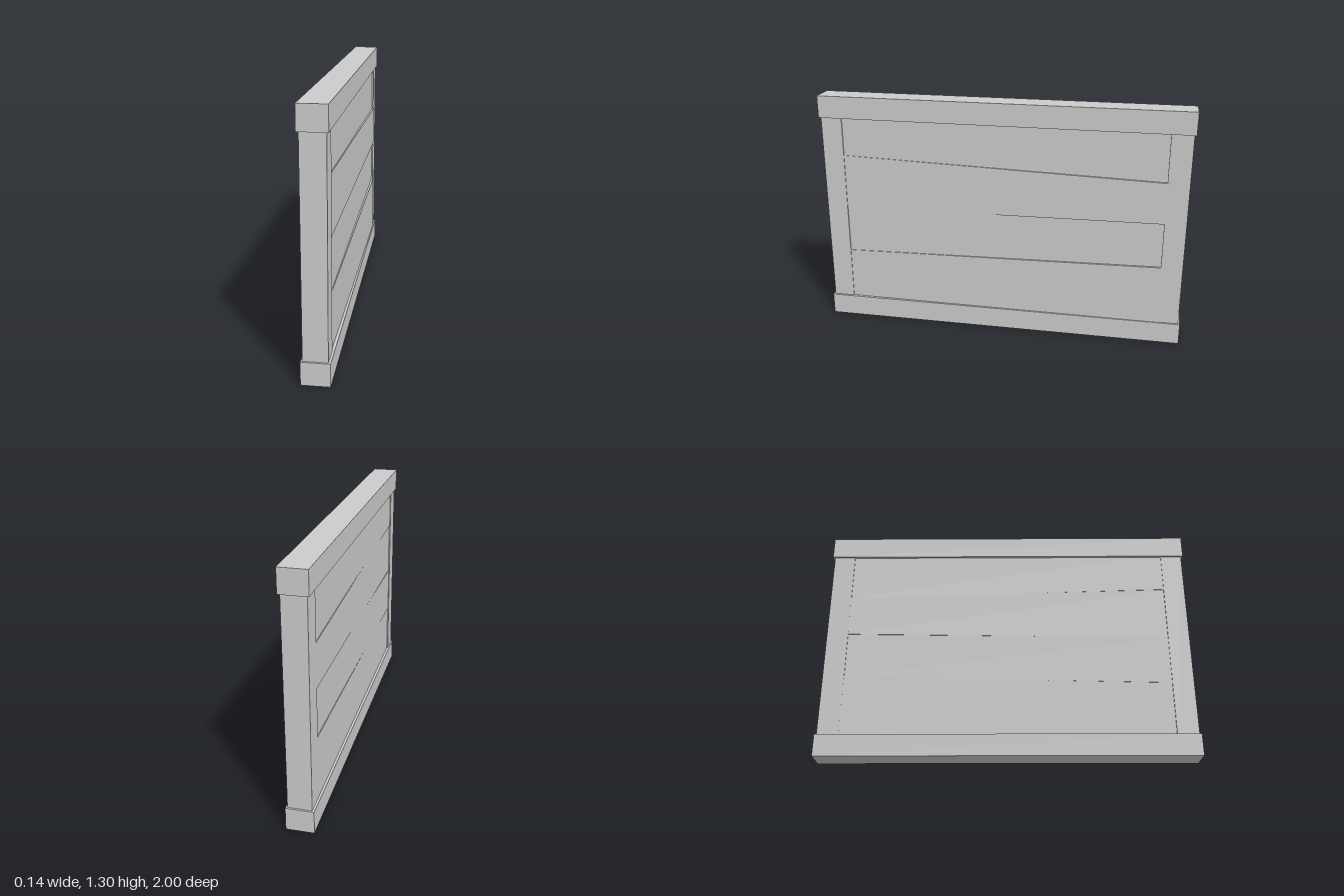
import * as THREE from 'three';

const material = new THREE.MeshStandardMaterial({ color: 0xcccccc, flatShading: true });

function addBox(group, name, w, h, d, x, y, z) {
  const mesh = new THREE.Mesh(new THREE.BoxGeometry(w, h, d), material);
  mesh.name = name;
  mesh.position.set(x, y, z);
  group.add(mesh);
  return mesh;
}

// Plank running along z; each end has its own bottom, top and x limits.
function addPlank(group, name, front, back) {
  const geometry = new THREE.BoxGeometry(1, 1, 1.77);
  const p = geometry.attributes.position;
  for (let i = 0; i < p.count; i++) {
    const end = p.getZ(i) > 0 ? front : back;
    p.setX(i, p.getX(i) < 0 ? end.x[0] : end.x[1]);
    p.setY(i, p.getY(i) < 0 ? end.y[0] : end.y[1]);
  }
  geometry.computeVertexNormals();
  const mesh = new THREE.Mesh(geometry, material);
  mesh.name = name;
  group.add(mesh);
}

export function createModel() {
  const group = new THREE.Group();
  group.name = 'plankWall';

  // Rails, the lower one very slightly askew
  addBox(group, 'topRail', 0.14, 0.12, 2, 0, 1.24, 0);
  addBox(group, 'bottomRail', 0.14, 0.117, 2, 0, 0.0585, 0).rotation.y = 0.0015;

  // End posts
  for (const side of [1, -1]) {
    addBox(group, side > 0 ? 'frontPost' : 'backPost', 0.12, 1.1, 0.115, 0, 0.65, side * 0.933);
  }

  // Four planks with slanting seams; every other one is thinner at the back
  const frontSeams = [0.1, 0.405, 0.67, 0.97, 1.2];
  const backSeams = [0.1, 0.445, 0.695, 0.92, 1.2];
  for (let i = 0; i < 4; i++) {
    const thick = i % 2 === 0;
    addPlank(group, 'plank' + (i + 1),
      { y: [frontSeams[i], frontSeams[i + 1]], x: thick ? [-0.053, 0.056] : [-0.056, 0.053] },
      { y: [backSeams[i], backSeams[i + 1]], x: thick ? [-0.0595, 0.064] : [-0.055, 0.052] });
  }
  return group;
}
